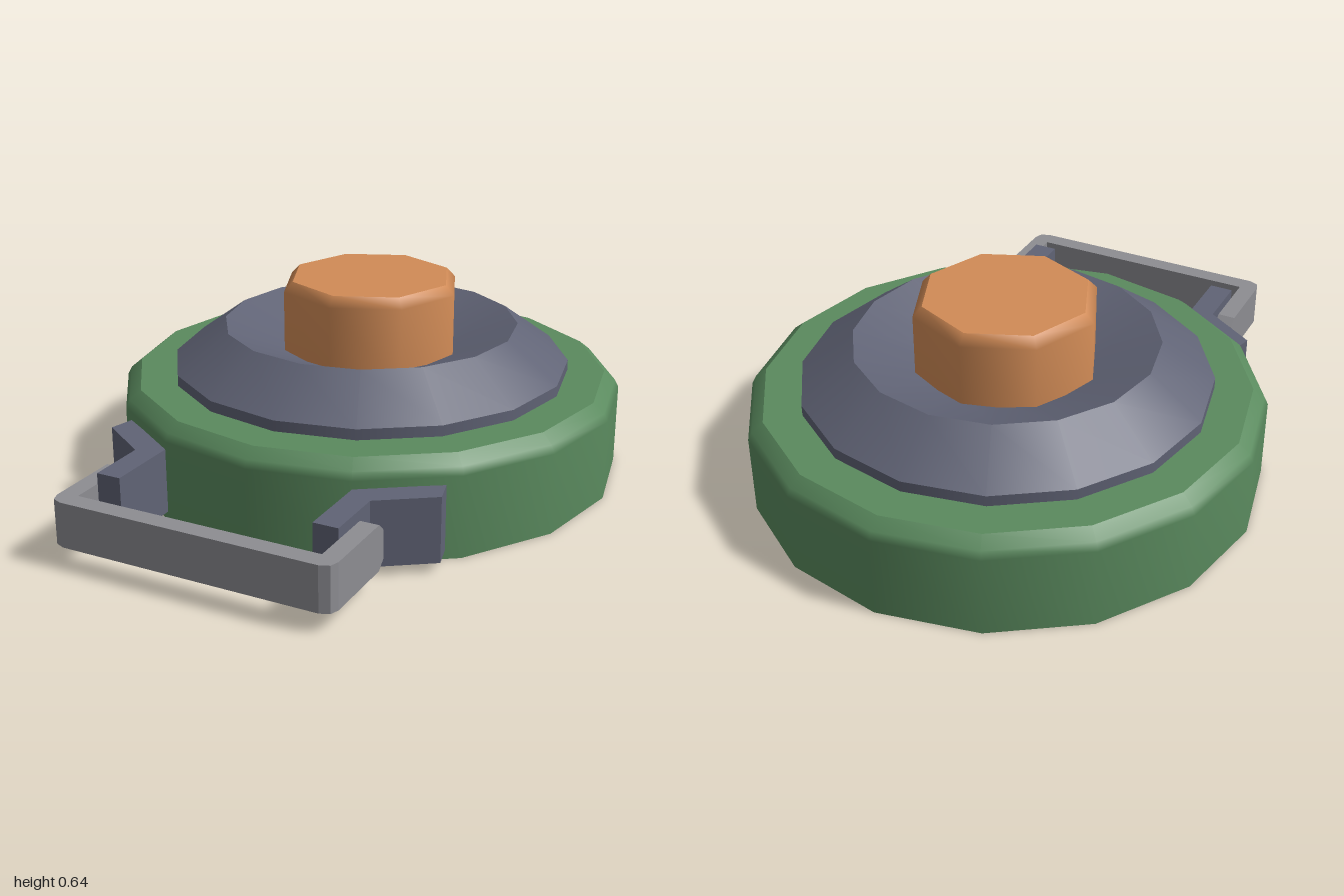
import * as THREE from 'three';
import { mergeGeometries } from 'three/addons/utils/BufferGeometryUtils.js';

const material = (name, color) => new THREE.MeshStandardMaterial({ name, color });
const CENTER_Z = -0.165;

// Turned part: each section is smooth in itself, with sharp edges between sections
function turned(name, sides, sections, mat) {
  const parts = sections.map((section) =>
    new THREE.LatheGeometry(section.map(([r, y]) => new THREE.Vector2(r, y)), sides));
  const mesh = new THREE.Mesh(mergeGeometries(parts), mat);
  mesh.name = name;
  mesh.position.z = CENTER_Z;
  return mesh;
}

const extrude = (points, depth) => new THREE.ExtrudeGeometry(
  new THREE.Shape(points.map(([x, y]) => new THREE.Vector2(x, y))),
  { depth, bevelEnabled: false });

// Floor-plan outline (x, z) raised from y0 to y1
const plan = (points, y0, y1) =>
  extrude(points, y1 - y0).rotateX(Math.PI / 2).translate(0, y1, 0);

// Side outline (z, y) spanning x0 to x1
const side = (points, x0, x1) =>
  extrude(points, x1 - x0).rotateY(-Math.PI / 2).translate(x1, 0, 0);

export function createModel() {
  const green = material('green casing', 0x5a8a5e);
  const slate = material('slate metal', 0x606375);
  const orange = material('orange button', 0xd18b56);
  const grey = material('grey handle', 0x8d8d92);
  const model = new THREE.Group();
  model.name = 'device';

  // Casing with a chamfered shoulder
  model.add(turned('casing', 16, [
    [[0, 0], [0.835, 0]],
    [[0.835, 0], [0.835, 0.265], [0.822, 0.29], [0.785, 0.32]],
    [[0.785, 0.32], [0, 0.32]],
  ], green));

  // Pressure plate: low rim, slope and dished centre
  model.add(turned('pressurePlate', 16, [
    [[0.662, 0.32], [0.662, 0.355]],
    [[0.662, 0.355], [0.49, 0.48]],
    [[0.49, 0.48], [0.25, 0.385]],
  ], slate));

  // Octagonal button
  model.add(turned('button', 8, [
    [[0.3, 0.36], [0.3, 0.605], [0.27, 0.637]],
    [[0.27, 0.637], [0, 0.637]],
  ], orange));

  // Bent brackets fixed to the casing
  const bracket = [[0.32, 0.845], [0.4, 0.845], [0.4, 0.65], [0.57, 0.535], [0.55, 0.455], [0.32, 0.6]];
  for (const s of [1, -1]) {
    const mesh = new THREE.Mesh(plan(bracket.map(([x, z]) => [s * x, z]), 0.03, 0.24), slate);
    mesh.name = s > 0 ? 'leftBracket' : 'rightBracket';
    model.add(mesh);
  }

  // Carrying handle: front bar with cut corners, and two arms with cut ends
  const handle = new THREE.Group();
  handle.name = 'handle';
  const half = [[0.4, 0.94], [0.4, 0.9], [0.46, 0.9], [0.46, 0.96], [0.45, 0.988], [0.42, 1]];
  const bar = [...half, ...half.map(([x, z]) => [-x, z]).reverse()];
  const barMesh = new THREE.Mesh(plan(bar, 0.062, 0.206), grey);
  barMesh.name = 'handleBar';
  handle.add(barMesh);
  const arm = [[0.9, 0.062], [0.9, 0.206], [0.715, 0.206], [0.687, 0.18], [0.687, 0.088], [0.715, 0.062]];
  for (const s of [1, -1]) {
    const mesh = new THREE.Mesh(side(arm, s > 0 ? 0.4 : -0.46, s > 0 ? 0.46 : -0.4), grey);
    mesh.name = s > 0 ? 'leftHandleArm' : 'rightHandleArm';
    handle.add(mesh);
  }
  model.add(handle);

  return model;
}
